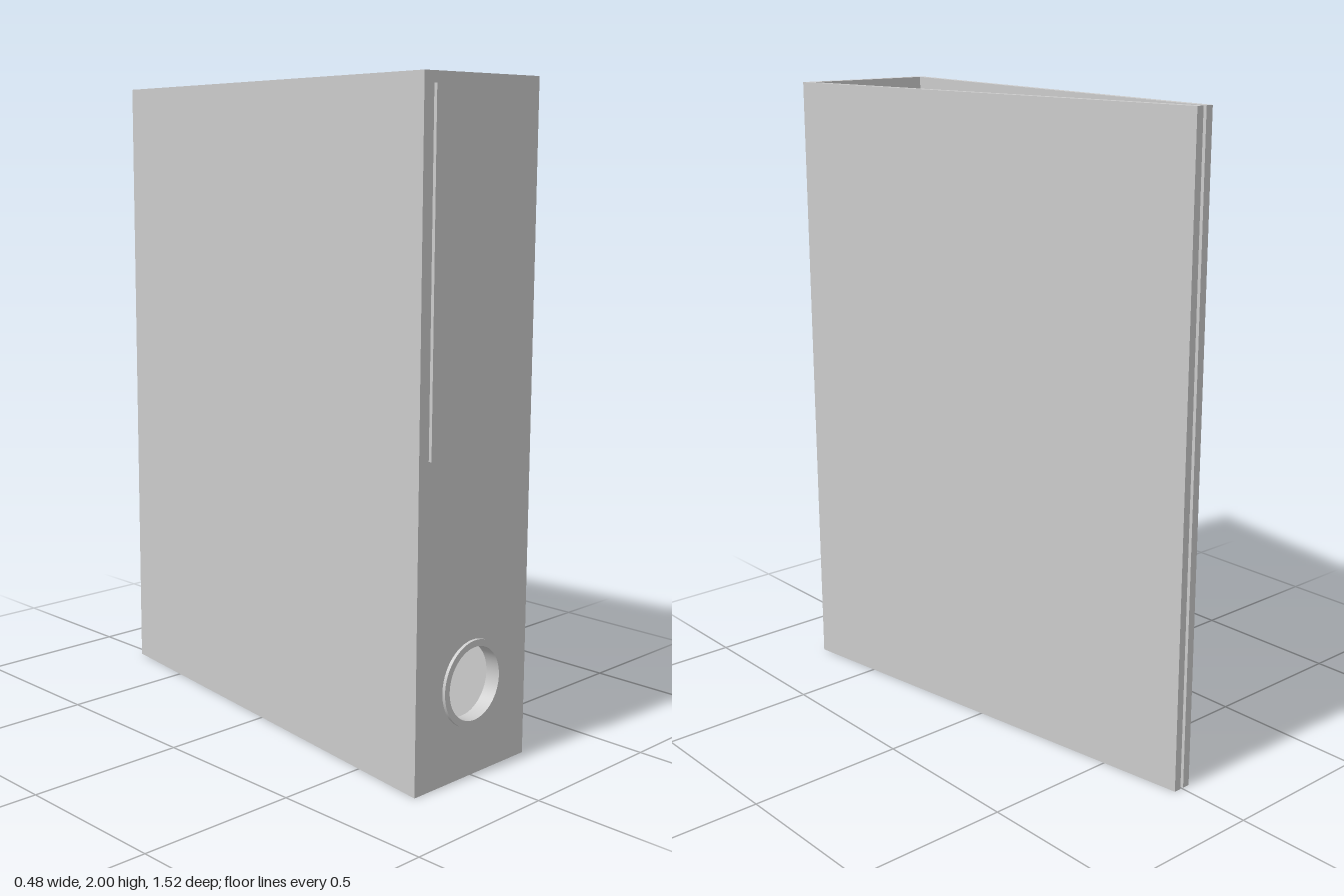
import * as THREE from 'three';
import { toCreasedNormals } from 'three/addons/utils/BufferGeometryUtils.js';

const HEIGHT = 2;
const SPINE_BACK = 0.725, SPINE_FRONT = 0.752, FRONT = 0.762, BACK = -0.762;
const HOLE_Y = 0.28, HOLE_R = 0.11, RING_R = 0.13;

export function createModel() {
  const model = new THREE.Group();
  model.name = 'ringBinder';
  const material = new THREE.MeshStandardMaterial({ color: 0xcccccc });

  const add = (name, geometry) => {
    const mesh = new THREE.Mesh(geometry, material);
    mesh.name = name;
    model.add(mesh);
    return mesh;
  };
  const extrude = (shape, depth) =>
    toCreasedNormals(new THREE.ExtrudeGeometry(shape, { depth, bevelEnabled: false, curveSegments: 32 }), 0.6);
  const circle = (r, y) => new THREE.Path().absarc(0, y, r, 0, Math.PI * 2, true);

  // Two upright covers that lean together towards the open back edge
  for (const [name, side] of [['leftCover', 1], ['rightCover', -1]]) {
    const plan = [
      [0.242, SPINE_FRONT], [0.22, SPINE_FRONT], [0.217, SPINE_BACK], [0.006, BACK], [0.03, BACK],
    ].map(([x, z]) => new THREE.Vector2(x * side, -z));
    add(name, extrude(new THREE.Shape(plan), HEIGHT).rotateX(-Math.PI / 2));
  }

  // Spine board with the finger hole cut through
  const board = new THREE.Shape();
  board.moveTo(-0.22, 0).lineTo(0.22, 0).lineTo(0.22, HEIGHT).lineTo(-0.22, HEIGHT).closePath();
  board.holes.push(circle(RING_R - 0.005, HOLE_Y));
  add('spine', extrude(board, SPINE_FRONT - SPINE_BACK)).position.z = SPINE_BACK;

  // Finger ring, standing slightly proud on both faces of the spine
  const rim = new THREE.Shape().absarc(0, 0, RING_R, 0, Math.PI * 2, false);
  rim.holes.push(circle(HOLE_R, 0));
  add('fingerRing', extrude(rim, FRONT - 0.715)).position.set(0, HOLE_Y, 0.715);

  // Blank label plate on the upper spine
  add('labelPlate', new THREE.BoxGeometry(0.406, 1.01, FRONT - SPINE_FRONT + 0.004))
    .position.set(0, 1.463, (FRONT + SPINE_FRONT - 0.004) / 2);

  return model;
}
